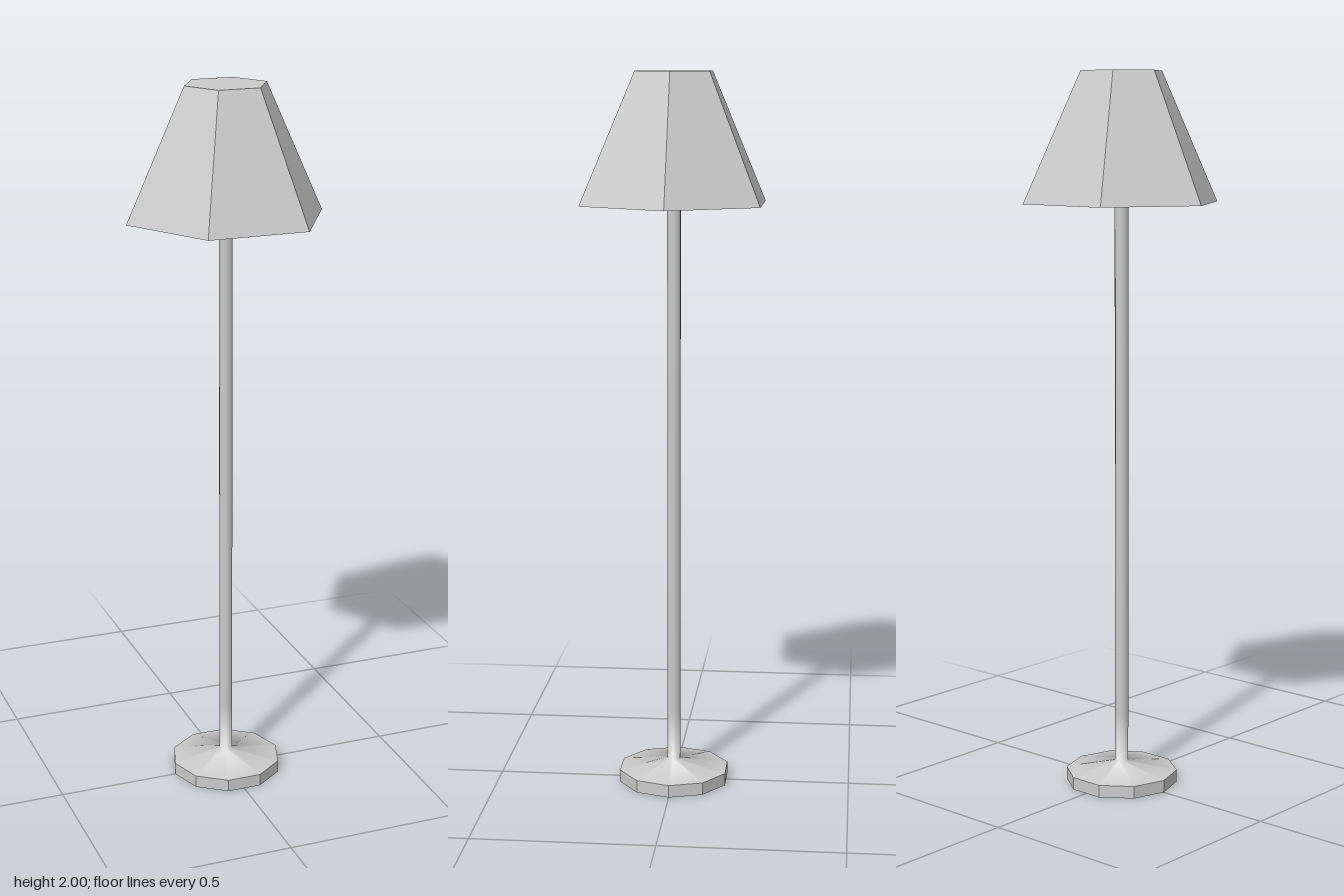
import * as THREE from 'three';

const SIDES = 10;
const START = Math.PI / 2; // puts a corner on the x axis

export function createModel() {
  const lamp = new THREE.Group();
  lamp.name = 'floorLamp';
  const flat = new THREE.MeshStandardMaterial({ color: 0xcccccc, flatShading: true });
  const smooth = new THREE.MeshStandardMaterial({ color: 0xcccccc });

  const add = (name, geometry, material, y = 0) => {
    const mesh = new THREE.Mesh(geometry, material);
    mesh.name = name;
    mesh.position.y = y;
    lamp.add(mesh);
  };
  // Ten-sided turned part from [radius, height] pairs, bottom to top
  const turned = (profile) => new THREE.LatheGeometry(
    profile.map(([r, y]) => new THREE.Vector2(r, y)), SIDES, START);

  const poleR = 0.019;
  const shadeBottom = 1.645;
  const shadeHeight = 2 - shadeBottom;

  // Foot: flat underside and upright rim
  add('footRim', turned([[0, 0], [0.158, 0], [0.158, 0.035]]), flat);

  // Sloping top of the foot, running softly into the lower pole
  add('footTop', turned([[0.158, 0.035], [poleR, 0.06], [poleR, 0.2]]), smooth);

  // Pole up to the underside of the shade
  add('pole', turned([[poleR, 0.2], [poleR, shadeBottom]]), smooth);

  // Closed six-sided shade
  add('shade', new THREE.CylinderGeometry(0.116, 0.28, shadeHeight, 6, 1, false, START),
    flat, shadeBottom + shadeHeight / 2);

  return lamp;
}
